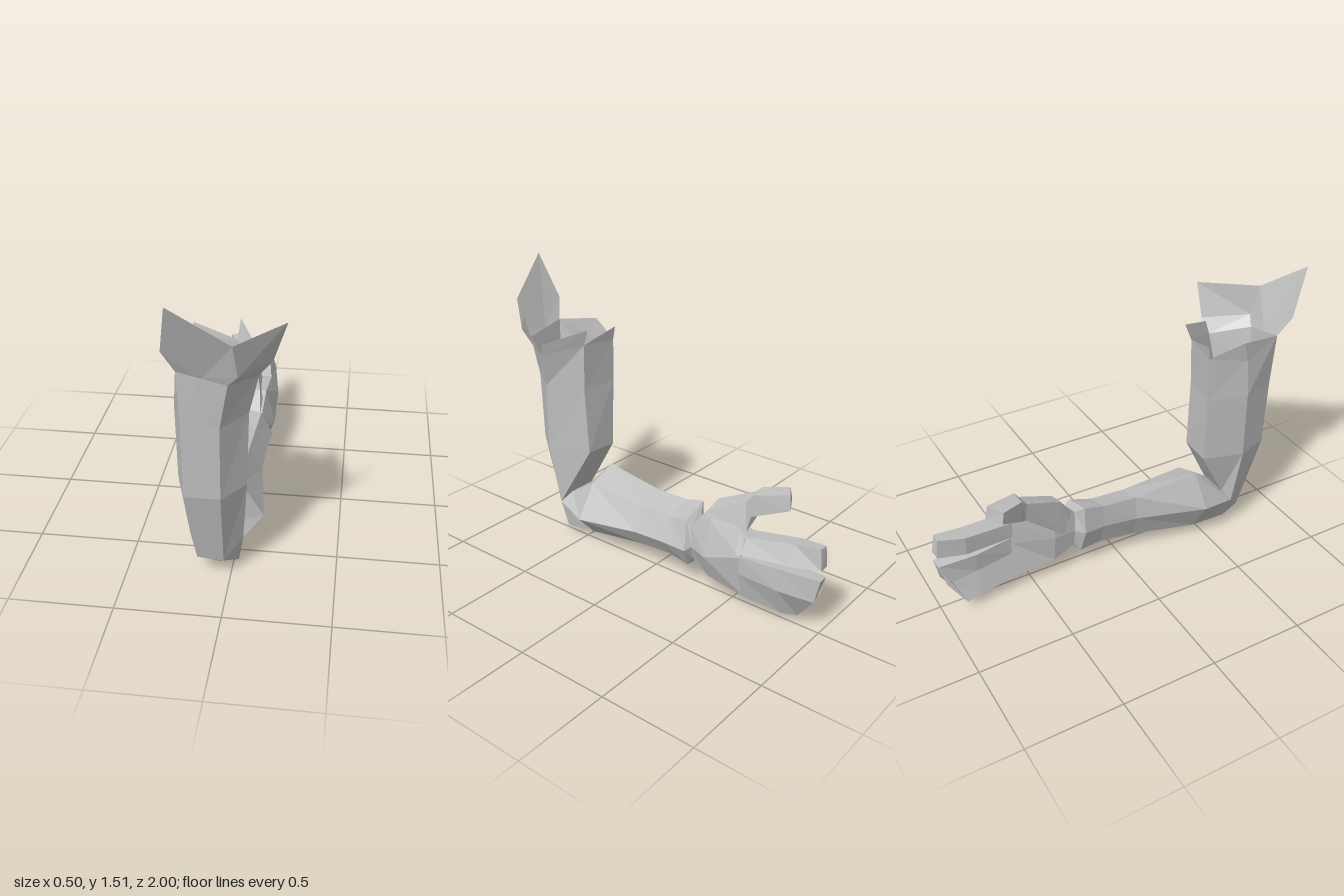
import * as THREE from 'three';

const skin = new THREE.MeshStandardMaterial({ color: 0xc0c0c0, flatShading: true, side: THREE.DoubleSide });
skin.name = 'plain grey';

// Faceted mesh from polygons, each split as a fan
function facets(name, polygons) {
  const pos = [];
  for (const p of polygons)
    for (let i = 1; i < p.length - 1; i++) pos.push(...p[0], ...p[i], ...p[i + 1]);
  const g = new THREE.BufferGeometry();
  g.setAttribute('position', new THREE.Float32BufferAttribute(pos, 3));
  g.computeVertexNormals();
  const m = new THREE.Mesh(g, skin);
  m.name = name;
  return m;
}

// Skin joining successive cross-sections, with an optional end cap
function loft(name, rings, cap = false) {
  const polys = [];
  for (let k = 0; k < rings.length - 1; k++) {
    const a = rings[k], b = rings[k + 1], n = a.length;
    for (let i = 0; i < n; i++) {
      const j = (i + 1) % n;
      polys.push([a[i], a[j], b[j], b[i]]);
    }
  }
  if (cap) polys.push(rings[rings.length - 1]);
  return facets(name, polys);
}

// Cross-sections at a fixed height or a fixed depth
const atY = (y, pts) => pts.map(([x, z]) => [x, y, z]);
const atZ = (z, pts) => pts.map(([x, y, dz = 0]) => [x, y, z + dz]);

export function createModel() {
  const arm = new THREE.Group();
  arm.name = 'arm';

  // Order: back right, back left, left, front left, front middle, front right, right
  const top = [[-0.19, 1.14, 0.45], [0.01, 1.15, 0.475], [0.13, 1.08, 0.67], [0.02, 1.12, 0.86],
    [-0.09, 1.145, 0.858], [-0.2, 1.17, 0.855], [-0.24, 1.1, 0.65]];
  const elbow = [[-0.16, 0.25, 0.61], [0, 0.25, 0.61], [0.055, 0.195, 0.65], [-0.03, 0.105, 0.722],
    [-0.09, 0.11, 0.724], [-0.155, 0.118, 0.725], [-0.2, 0.2, 0.65]];
  arm.add(loft('upperArm', [
    top,
    atY(0.9, [[-0.19, 0.455], [0.01, 0.485], [0.088, 0.69], [-0.02, 0.845], [-0.105, 0.845], [-0.19, 0.845], [-0.252, 0.66]]),
    atY(0.53, [[-0.18, 0.458], [0, 0.47], [0.08, 0.7], [-0.022, 0.832], [-0.105, 0.832], [-0.19, 0.832], [-0.243, 0.67]]),
    elbow,
  ]));

  // Ragged open sleeve end
  const [BL, BR, R, FR, FM, FL, L] = top;
  const peak = [-0.205, 1.52, 1], frontTop = [0.05, 1.33, 0.92], fold = [0.065, 1.17, 0.88];
  arm.add(facets('shoulderEdge', [
    [FM, FR, fold, frontTop, peak, [-0.25, 1.28, 0.9], FL],
    [fold, FR, R, [0.19, 1.15, 0.66]],
    [fold, [0.19, 1.15, 0.66], [0.25, 1.33, 0.66], frontTop],
    [R, BR, [0.02, 1.24, 0.44], [0.145, 1.15, 0.655]],
    [BR, BL, [-0.195, 1.21, 0.44]],
    [BL, L, [-0.245, 1.21, 0.62]],
    [L, FL, [-0.245, 1.21, 0.62]],
  ]));

  // Forearm, starting with the pointed elbow
  const wrist = [[-0.06, 0.37, -0.25], [0.04, 0.345, -0.26], [0.06, 0.24, -0.275], [0.035, 0.16, -0.27],
    [-0.02, 0.155, -0.27], [-0.07, 0.165, -0.265], [-0.08, 0.26, -0.26]];
  arm.add(loft('forearm', [
    elbow,
    [elbow[0], elbow[1], elbow[2], [0.03, 0.04, 0.62], [-0.07, 0.005, 0.6], [-0.155, 0.07, 0.64], elbow[6]],
    atZ(0.44, [[-0.145, 0.42], [0.015, 0.36], [0.13, 0.18], [0.02, 0.06], [-0.07, 0.035], [-0.15, 0.07], [-0.235, 0.23, 0.02]]),
    atZ(0.08, [[-0.125, 0.38], [0.015, 0.34], [0.082, 0.21], [0.025, 0.115], [-0.03, 0.105], [-0.09, 0.11], [-0.14, 0.25]]),
    atZ(-0.11, [[-0.115, 0.39], [0.025, 0.345], [0.085, 0.22], [0.03, 0.13], [-0.03, 0.122], [-0.08, 0.13], [-0.12, 0.26]]),
    atZ(-0.22, [[-0.115, 0.418], [0.04, 0.375, -0.01], [0.1, 0.23, -0.04], [0.04, 0.115, -0.02], [-0.02, 0.11, -0.02], [-0.08, 0.12, -0.01], [-0.125, 0.26]]),
    wrist,
  ]));

  // Palm
  arm.add(loft('palm', [
    wrist,
    atZ(-0.38, [[-0.08, 0.45], [0.05, 0.43], [0.1, 0.24], [0.05, 0.105], [-0.01, 0.1], [-0.07, 0.11], [-0.09, 0.27]]),
    atZ(-0.6, [[-0.03, 0.41], [0.06, 0.415], [0.1, 0.32], [0.06, 0.08], [0, 0.075], [-0.06, 0.085], [-0.03, 0.28]]),
  ], true));

  // Thumb, raised and leaning inward
  arm.add(loft('thumb', [
    atZ(-0.26, [[-0.06, 0.37], [0.03, 0.35], [0.04, 0.27], [-0.07, 0.27]]),
    atZ(-0.34, [[-0.08, 0.485], [0.02, 0.455], [0.07, 0.3], [-0.09, 0.28]]),
    atZ(-0.54, [[-0.12, 0.575], [-0.025, 0.555], [0.01, 0.41, -0.03], [-0.09, 0.45]]),
    atZ(-0.57, [[-0.13, 0.605], [-0.035, 0.595], [-0.03, 0.48], [-0.125, 0.48]]),
    atZ(-0.72, [[-0.185, 0.622, 0.03], [-0.1, 0.625, -0.02], [-0.095, 0.545, -0.03], [-0.19, 0.56, 0.02]]),
  ], true));

  // Upper finger
  arm.add(loft('upperFinger', [
    atZ(-0.57, [[-0.03, 0.41], [0.06, 0.415], [0.1, 0.33], [-0.03, 0.32]]),
    atZ(-0.85, [[-0.065, 0.445], [0.02, 0.45], [0.06, 0.35], [-0.06, 0.34]]),
    atZ(-0.985, [[-0.04, 0.465], [0.01, 0.47], [0.02, 0.36, -0.015], [-0.04, 0.36, -0.01]]),
  ], true));

  // Joined lower fingers, curling inward at the bottom
  arm.add(loft('lowerFingers', [
    atZ(-0.59, [[-0.03, 0.32], [0.1, 0.325], [0.095, 0.22], [0.06, 0.08], [-0.06, 0.085], [-0.03, 0.22]]),
    atZ(-0.8, [[-0.055, 0.31], [0.07, 0.318], [0.075, 0.2], [0.02, 0.045], [-0.08, 0.07], [-0.045, 0.2]]),
    [[-0.04, 0.3, -0.995], [0.02, 0.305, -1], [0.025, 0.18, -0.975], [-0.03, 0.03, -0.86], [-0.09, 0.06, -0.88], [-0.05, 0.18, -0.965]],
  ], true));

  return arm;
}
